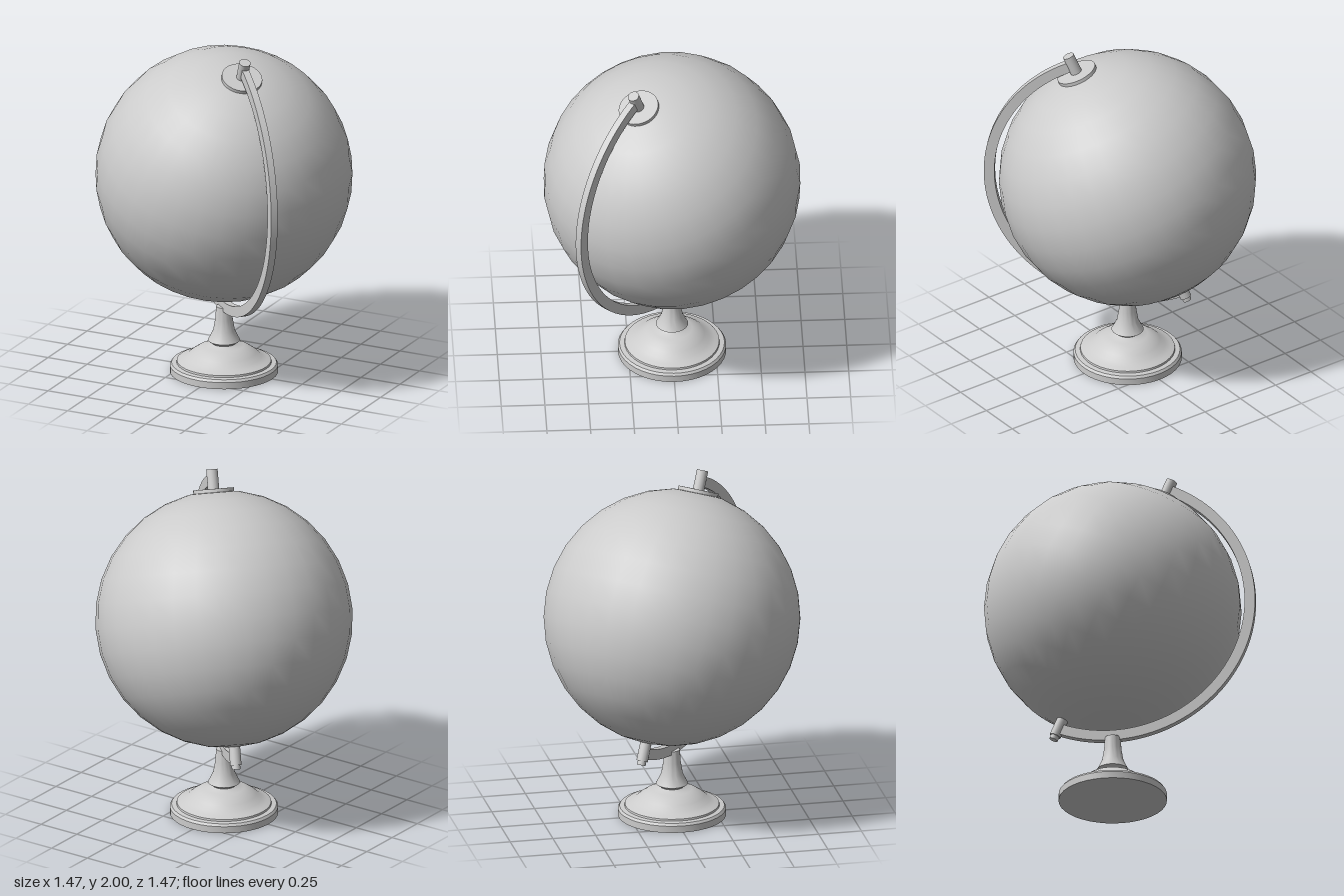
import * as THREE from 'three';
import { toCreasedNormals } from 'three/addons/utils/BufferGeometryUtils.js';

const R = 0.737;                             // ball radius
const CENTRE_Y = 1.2;
const TILT = THREE.MathUtils.degToRad(23.4); // lean of the spin axis
const TURN = THREE.MathUtils.degToRad(-43);  // heading of the lean, towards +x +z

export function createModel() {
  const model = new THREE.Group();
  model.name = 'deskGlobe';
  const material = new THREE.MeshStandardMaterial({ color: 0xcccccc });

  const add = (parent, name, geometry) => {
    const mesh = new THREE.Mesh(geometry, material);
    mesh.name = name;
    parent.add(mesh);
    return mesh;
  };

  // Turned foot and stem
  const profile = [
    [0, 0], [0.31, 0], [0.31, 0.04], [0.3, 0.054], [0.272, 0.057], [0.27, 0.068],
    [0.245, 0.078], [0.215, 0.092], [0.185, 0.118], [0.15, 0.142], [0.115, 0.157],
    [0.08, 0.164], [0.068, 0.172], [0.092, 0.19], [0.085, 0.202], [0.062, 0.25],
    [0.05, 0.32], [0.045, 0.395], [0, 0.395],
  ].map(([r, y]) => new THREE.Vector2(r, y));
  add(model, 'stand', toCreasedNormals(new THREE.LatheGeometry(profile, 40), 0.5));

  // Everything on the axis: local +y is the tilted pole, local +x the arm side
  const turned = new THREE.Group();
  turned.name = 'tiltedAssembly';
  turned.position.y = CENTRE_Y;
  turned.rotation.y = TURN;
  model.add(turned);
  const axis = new THREE.Group();
  axis.name = 'axis';
  axis.rotation.z = -TILT;
  turned.add(axis);

  add(axis, 'ball', new THREE.SphereGeometry(R, 32, 16));

  // Half-ring arm from pole to pole
  const inner = 0.765, outer = 0.826, width = 0.04;
  const ring = new THREE.Shape();
  ring.absarc(0, 0, outer, -Math.PI / 2, Math.PI / 2, false);
  ring.absarc(0, 0, inner, Math.PI / 2, -Math.PI / 2, true);
  ring.closePath();
  const armGeometry = new THREE.ExtrudeGeometry(ring, {
    depth: width, bevelEnabled: false, curveSegments: 40,
  });
  armGeometry.translate(0, 0, -width / 2);
  add(axis, 'arm', toCreasedNormals(armGeometry, 0.5));

  // Cylinders along the axis, given by the distances of both ends from the centre
  const rod = (name, radius, from, to, sides = 20) => {
    const mesh = add(axis, name, new THREE.CylinderGeometry(radius, radius, Math.abs(to - from), sides));
    mesh.position.y = (from + to) / 2;
  };
  rod('poleDisc', 0.117, 0.715, 0.746, 32);
  rod('topPin', 0.033, 0.72, 0.859);
  rod('bottomPin', 0.033, -0.73, -0.84);
  rod('bottomPinTip', 0.025, -0.83, -0.864);

  return model;
}
